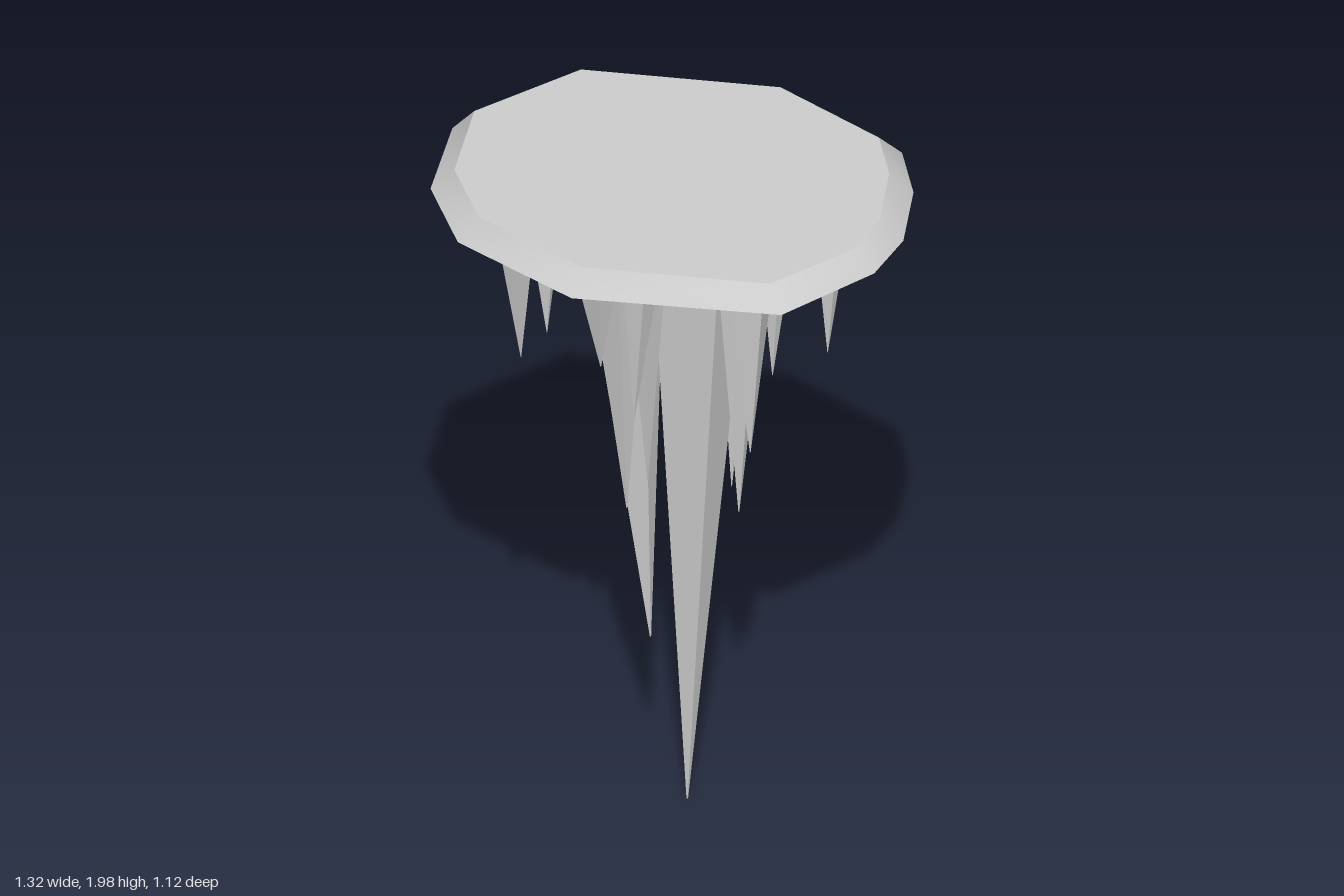
import * as THREE from 'three';
import { toCreasedNormals } from 'three/addons/utils/BufferGeometryUtils.js';

// rim of the slab: x, y, z
const RIM = [
  [0.05, 1.94, -0.56], [0.43, 1.94, -0.47], [0.55, 1.94, -0.32], [0.645, 1.945, -0.1],
  [0.66, 1.95, 0.08], [0.54, 1.94, 0.36], [0.02, 1.935, 0.555], [-0.37, 1.935, 0.47],
  [-0.555, 1.94, 0.29], [-0.66, 1.925, -0.01], [-0.5, 1.94, -0.355],
];

// icicles: tip x, y, z, then top x, y, z, then half widths in x and z
const ICICLES = [
  [0.015, 0.02, -0.065, 0.07, 1.88, -0.045, 0.12, 0.1],
  [-0.05, 0.55, 0.015, -0.13, 1.84, 0.02, 0.1, 0.1],
  [-0.09, 0.97, 0.07, -0.11, 1.85, 0.09, 0.07, 0.07],
  [0.19, 0.99, -0.03, 0.21, 1.85, -0.02, 0.07, 0.06],
  [0.12, 1.0, -0.115, 0.13, 1.85, -0.13, 0.06, 0.05],
  [0.07, 1.2, 0.24, 0.07, 1.86, 0.25, 0.04, 0.05],
  [0.31, 1.3, 0.12, 0.31, 1.87, 0.12, 0.06, 0.06],
  [0.2, 1.33, -0.19, 0.21, 1.86, -0.2, 0.05, 0.045],
  [0.06, 1.42, 0.295, 0.08, 1.88, 0.29, 0.04, 0.04],
  [-0.33, 1.44, 0.07, -0.33, 1.87, 0.08, 0.05, 0.05],
  [-0.3, 1.48, 0.26, -0.31, 1.88, 0.27, 0.04, 0.045],
  [0.4, 1.5, -0.13, 0.41, 1.89, -0.135, 0.04, 0.035],
  [-0.37, 1.58, 0.17, -0.38, 1.89, 0.17, 0.04, 0.04],
  [-0.02, 1.58, 0.33, -0.02, 1.87, 0.35, 0.045, 0.04],
  [0.22, 1.63, -0.36, 0.22, 1.89, -0.365, 0.025, 0.03],
];

// closed slab lofted through rings, from the bottom centre to the top centre
function slabGeometry() {
  const rings = [
    [0, 1.795], [0.25, 1.805], [0.5, 1.845], [0.75, 1.89], [1, null], [0.9, 2], [0, 2],
  ];
  const n = RIM.length, pos = [], index = [];
  for (const [s, y] of rings)
    for (const [x, ry, z] of RIM) pos.push(x * s, y ?? ry, z * s);
  for (let r = 0; r < rings.length - 1; r++) {
    for (let i = 0; i < n; i++) {
      const a = r * n + i, b = r * n + (i + 1) % n, c = a + n, d = b + n;
      if (r > 0) index.push(b, a, c);
      if (r < rings.length - 2) index.push(b, c, d);
    }
  }
  const g = new THREE.BufferGeometry();
  g.setAttribute('position', new THREE.Float32BufferAttribute(pos, 3));
  g.setIndex(index);
  return toCreasedNormals(g, 0.6);
}

// upside-down four-sided spike whose tip is sheared away from its top
function icicleGeometry([tx, ty, tz, bx, by, bz, w, d], turn) {
  const g = new THREE.CylinderGeometry(1.25, 0.02, 1, 4, 1).rotateY(Math.PI / 4 + turn);
  const p = g.attributes.position;
  for (let i = 0; i < p.count; i++) {
    const t = p.getY(i) + 0.5;
    p.setXYZ(i,
      THREE.MathUtils.lerp(tx, bx, t) + p.getX(i) * w,
      THREE.MathUtils.lerp(ty, by, t),
      THREE.MathUtils.lerp(tz, bz, t) + p.getZ(i) * d);
  }
  const flat = g.toNonIndexed();
  flat.computeVertexNormals();
  return flat;
}

export function createModel() {
  const group = new THREE.Group();
  group.name = 'icicleCluster';

  const slab = new THREE.Mesh(slabGeometry(), new THREE.MeshStandardMaterial({ color: 0xcccccc }));
  slab.name = 'ceilingSlab';
  group.add(slab);

  const ice = new THREE.MeshStandardMaterial({ color: 0xcccccc, flatShading: true });
  ICICLES.forEach((spec, i) => {
    const icicle = new THREE.Mesh(icicleGeometry(spec, 0.25 * Math.sin(i * 2.3)), ice);
    icicle.name = 'icicle' + (i + 1);
    group.add(icicle);
  });
  return group;
}
